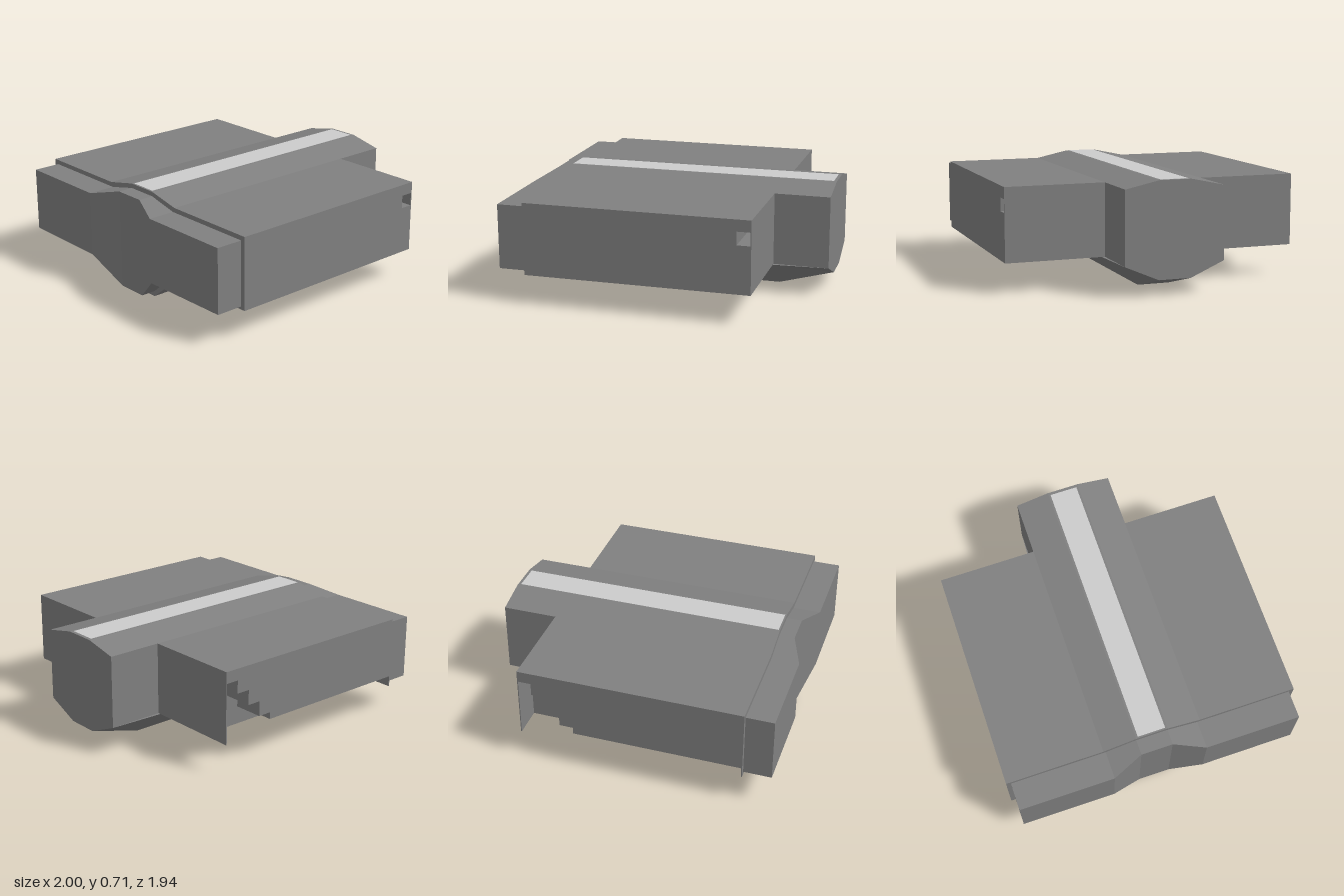
import * as THREE from 'three';

const hullMat = new THREE.MeshStandardMaterial({ color: 0x808080, flatShading: true, side: THREE.DoubleSide });
const stripMat = new THREE.MeshStandardMaterial({ color: 0xcccccc, flatShading: true });

// Joins rings of [x, y, z] corners into a closed faceted solid; skip lists ring edges left open
function loft(rings, skip = () => false) {
  const pos = [], n = rings[0].length;
  const tri = (...pts) => pts.forEach(p => pos.push(...p));
  for (let i = 0; i < rings.length - 1; i++) {
    for (let j = 0; j < n; j++) {
      if (skip(i, j)) continue;
      const k = (j + 1) % n, a = rings[i], b = rings[i + 1];
      tri(a[j], a[k], b[k]);
      tri(a[j], b[k], b[j]);
    }
  }
  const first = rings[0], last = rings[rings.length - 1];
  for (let j = 1; j < n - 1; j++) {
    tri(first[0], first[j + 1], first[j]);
    tri(last[0], last[j], last[j + 1]);
  }
  const g = new THREE.BufferGeometry();
  g.setAttribute('position', new THREE.Float32BufferAttribute(pos, 3));
  g.computeVertexNormals();
  return g;
}

// Box given by its minimum and maximum corners
function span(x0, x1, y0, y1, z0, z1) {
  return new THREE.BoxGeometry(x1 - x0, y1 - y0, z1 - z0)
    .translate((x0 + x1) / 2, (y0 + y1) / 2, (z0 + z1) / 2);
}

const outline = pts => new THREE.Shape(pts.map(p => new THREE.Vector2(...p)));
const rect = (x0, x1, y0, y1) => [[x0, y0], [x1, y0], [x1, y1], [x0, y1]];

function extrudeZ(shape, z0, z1) {
  return new THREE.ExtrudeGeometry(shape, { depth: z1 - z0, bevelEnabled: false }).translate(0, 0, z0);
}

export function createModel() {
  const model = new THREE.Group();
  const add = (name, geometry, material = hullMat) => {
    const mesh = new THREE.Mesh(geometry, material);
    mesh.name = name;
    model.add(mesh);
  };

  const rear = -0.82, wingEnd = 0.64, low = 0.195, high = 0.665, skin = 0.006;
  const recessZ = -0.77;

  // Wide slab with a square tunnel running through it
  const slab = outline(rect(rear, wingEnd, low, high));
  slab.holes.push(outline(rect(0.55, wingEnd - skin, 0.505, 0.59)));
  add('wingSlab', extrudeZ(slab, recessZ, 0.97));

  // Back edge of the slab, stepped on its underside
  const steps = [[rear, 0.265], [0.28, 0.265], [0.28, 0.31]];
  for (let i = 0; i < 3; i++) {
    const x = 0.37 + i * 0.09;
    steps.push([x, 0.31 + i * 0.0975], [x, 0.31 + (i + 1) * 0.0975 - (i === 2 ? 0.0125 : 0)]);
  }
  steps.push([wingEnd, 0.59], [wingEnd, high], [rear, high]);
  add('steppedWingEdge', extrudeZ(outline(steps), -0.97, recessZ));
  add('frontEndPlate', span(wingEnd - skin, wingEnd, low, 0.59, -0.97, recessZ));
  add('rearEndPlate', span(rear, rear + skin, low, 0.265, -0.97, recessZ));

  // Central body: nose block, sloped ridge and light strip
  add('noseBlock', span(wingEnd, 1, low, high, -0.325, 0.325));
  add('ridge', loft([rear, 1].map(x => [
    [x, high, 0.325], [x, high, -0.325], [x, 0.712, -0.105], [x, 0.712, 0.105],
  ])));
  add('topStrip', span(-0.81, 0.98, 0.7, 0.714, -0.092, 0.092), stripMat);

  // Keel, tapering up under the nose; its flat floor is separate
  const keelRing = (x, w, y) => [[x, low, w], [x, y, 0.105], [x, y, -0.105], [x, low, -w]];
  add('keel', loft(
    [keelRing(rear, 0.345, 0), keelRing(wingEnd, 0.345, 0), keelRing(1, 0.325, 0.1)],
    (i, j) => i === 0 && j === 1,
  ));
  const floor = outline(rect(rear, wingEnd, -0.105, 0.105));
  for (const x of [0.5, 0.32]) floor.holes.push(outline(rect(x, x + 0.07, 0.01, 0.08)));
  add('keelFloor', new THREE.ShapeGeometry(floor).rotateX(-Math.PI / 2));

  // Small ledges where the keel meets the wings
  add('leftLedge', span(rear, -0.58, 0.175, low, 0.3, 0.35));
  add('rightLedge', span(-0.58, -0.32, 0.175, low, -0.35, -0.3));

  // Rear collar, hollowed toward the middle: [z, end x, bottom y, top y]
  const collar = [
    [-0.94, -1, 0.215, 0.635], [-0.31, -1, 0.21, 0.635], [-0.105, -0.92, 0.035, 0.682],
    [0.105, -0.92, 0.035, 0.682], [0.31, -1, 0.21, 0.635], [0.94, -1, 0.215, 0.635],
  ];
  add('rearCollar', loft(collar.map(([z, x, b, t]) => [[x, b, z], [rear, b, z], [rear, t, z], [x, t, z]])));

  return model;
}
